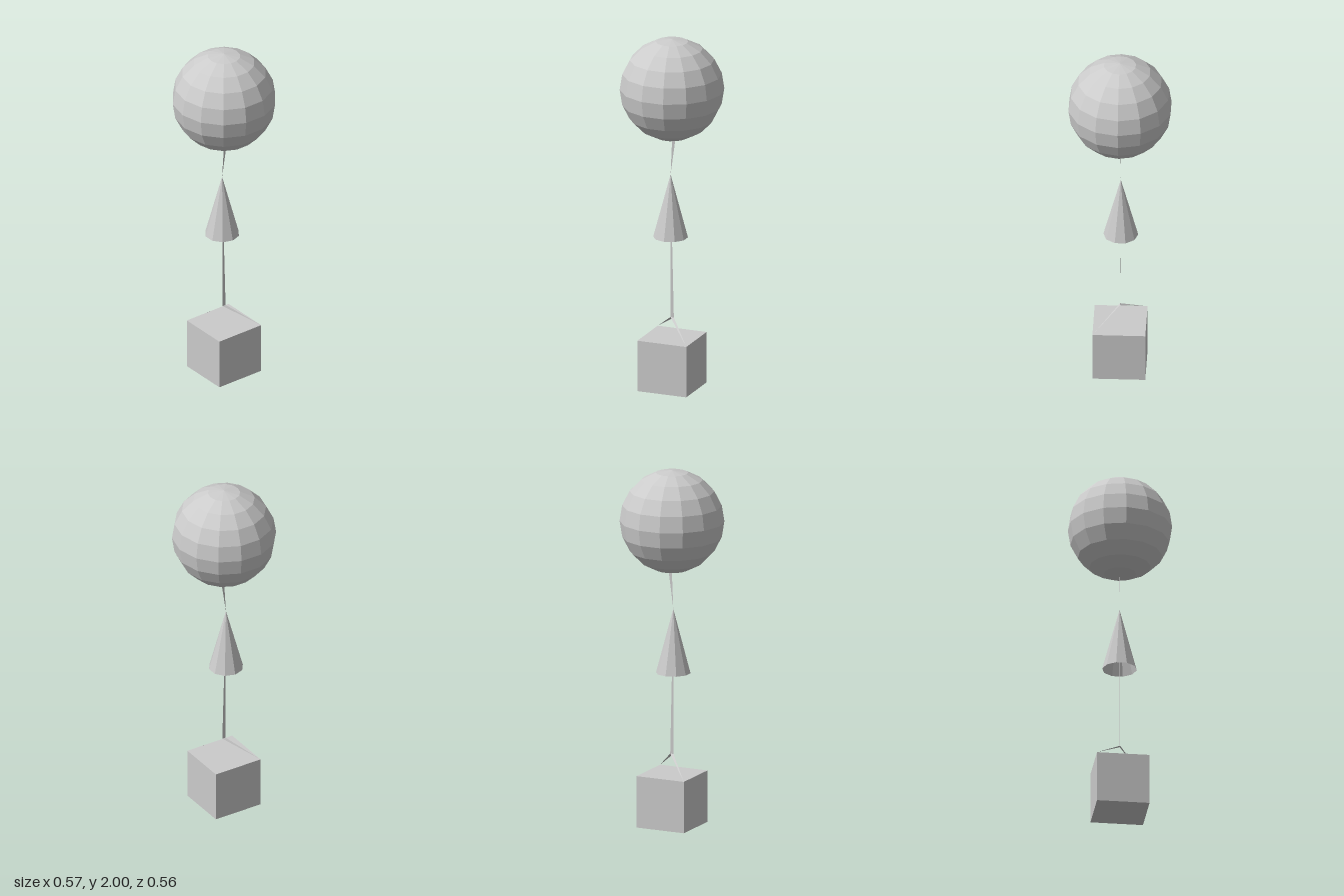
import * as THREE from 'three';

export function createModel() {
  const group = new THREE.Group();
  const material = new THREE.MeshStandardMaterial({
    color: 0xcccccc, flatShading: true, side: THREE.DoubleSide,
  });

  const add = (name, geometry, x, y, z) => {
    const mesh = new THREE.Mesh(geometry, material);
    mesh.name = name;
    mesh.position.set(x, y, z);
    group.add(mesh);
  };

  // A cord is one thin sliver: a short edge along x narrowing to a tip
  const addCord = (name, x, y, z, width, tip) => {
    const geometry = new THREE.BufferGeometry();
    geometry.setAttribute('position', new THREE.Float32BufferAttribute(
      [x - width / 2, y, z, x + width / 2, y, z, ...tip], 3));
    geometry.computeVertexNormals();
    add(name, geometry, 0, 0, 0);
  };

  // Balloon, open-bottomed parachute cone and instrument box
  add('balloon', new THREE.SphereGeometry(0.287, 14, 10), 0, 1.714, 0);
  add('parachute', new THREE.ConeGeometry(0.0955, 0.36, 10, 1, true), -0.01, 1.04, -0.004);
  add('instrumentBox', new THREE.BoxGeometry(0.29, 0.29, 0.29), 0, 0.145, 0);

  // Cords from the balloon to the parachute and on down to the bridle
  const apex = [-0.01, 1.22, -0.004];
  addCord('upperCord', 0.011, 1.432, 0, 0.02, apex);
  addCord('lowerCord', 0.001, 0.4, 0, 0.02, apex);

  // Bridle cords to two opposite corners of the box
  for (const s of [1, -1]) {
    addCord('bridleCord', 0.001, 0.4, 0, 0.02, [0.145 * s, 0.29, 0.145 * s]);
  }

  return group;
}
